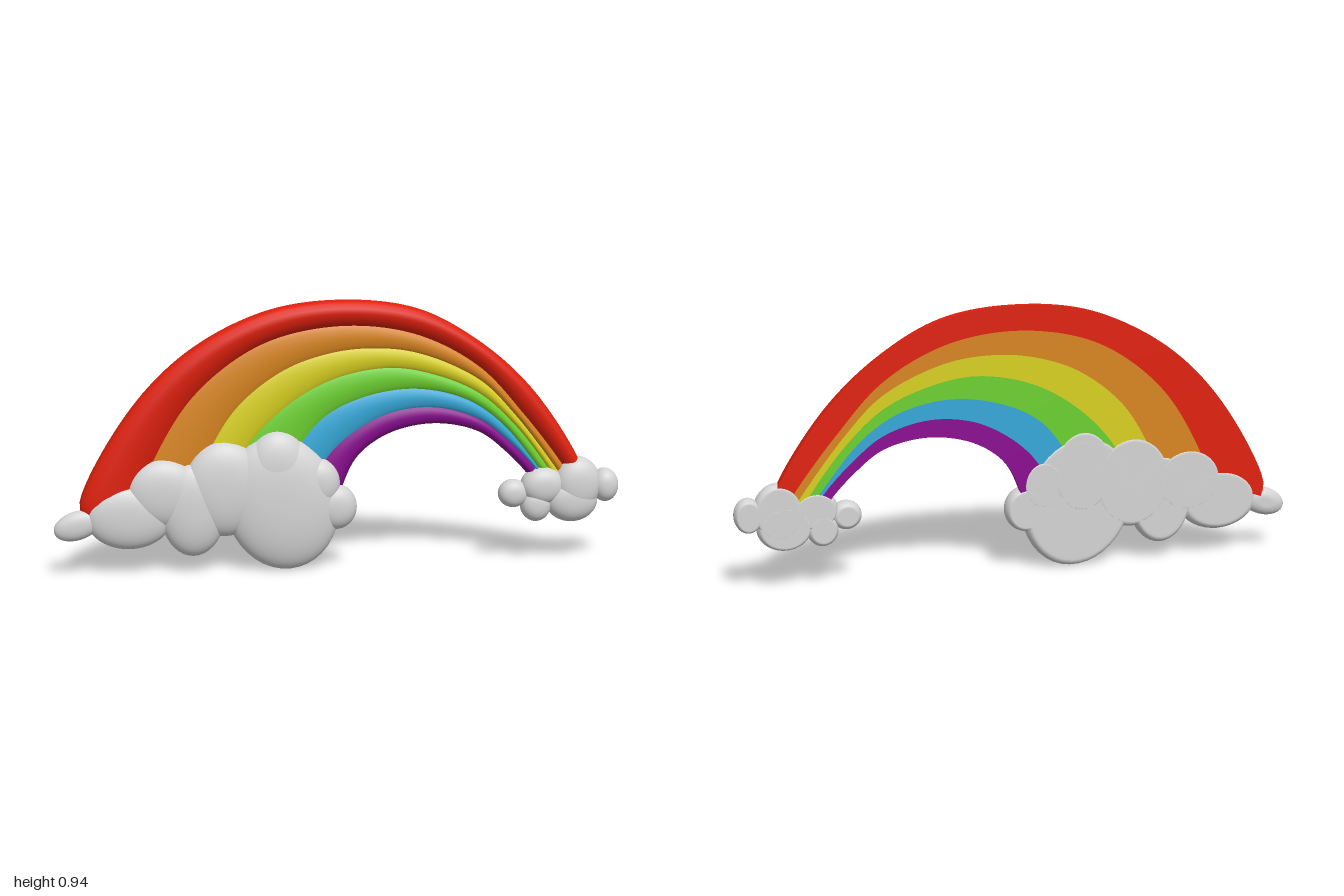
import * as THREE from 'three';
import { mergeVertices } from 'three/addons/utils/BufferGeometryUtils.js';

const BACK = -0.052;

const mat = (name, color) => {
  const m = new THREE.MeshStandardMaterial({ color });
  m.name = name;
  return m;
};

// Boundary curves between the stripes, outermost first, from left end to right end
const EDGES = [
  [[-0.9, 0.2], [-0.91, 0.25], [-0.74, 0.56], [-0.53, 0.77], [-0.26, 0.905], [0.01, 0.94], [0.275, 0.905], [0.49, 0.79], [0.68, 0.62], [0.85, 0.37], [0.88, 0.28]],
  [[-0.7, 0.27], [-0.66, 0.385], [-0.53, 0.6], [-0.365, 0.745], [-0.205, 0.82], [0.035, 0.853], [0.275, 0.815], [0.49, 0.7], [0.65, 0.53], [0.79, 0.35], [0.84, 0.27]],
  [[-0.53, 0.27], [-0.47, 0.41], [-0.365, 0.575], [-0.205, 0.7], [-0.045, 0.757], [0.105, 0.773], [0.275, 0.752], [0.49, 0.655], [0.62, 0.527], [0.765, 0.34], [0.82, 0.26]],
  [[-0.42, 0.27], [-0.32, 0.45], [-0.18, 0.585], [-0.02, 0.67], [0.17, 0.703], [0.33, 0.676], [0.49, 0.607], [0.62, 0.49], [0.74, 0.335], [0.79, 0.25]],
  [[-0.24, 0.28], [-0.17, 0.4], [-0.07, 0.527], [0.06, 0.596], [0.25, 0.628], [0.435, 0.59], [0.57, 0.5], [0.715, 0.325], [0.77, 0.25]],
  [[-0.11, 0.27], [-0.055, 0.385], [0.035, 0.473], [0.17, 0.543], [0.33, 0.56], [0.49, 0.515], [0.595, 0.435], [0.7, 0.325], [0.745, 0.25]],
  [[-0.01, 0.22], [0.005, 0.28], [0.06, 0.39], [0.17, 0.468], [0.33, 0.5], [0.49, 0.468], [0.595, 0.39], [0.68, 0.3], [0.715, 0.24]],
];

// Stripe cross-sections: [fraction from outer to inner edge, z]
const OUTER = [[0, BACK], [0, -0.025], [0.03, -0.01], [0.12, 0.004], [0.28, 0.013], [0.48, 0.015], [0.72, 0.008], [0.9, -0.004], [1, -0.014]];
const MIDDLE = [[0, -0.014], [0.15, -0.007], [0.5, -0.002], [0.85, -0.007], [1, -0.014]];
const INNER = [[0, -0.014], [0.15, -0.007], [0.45, -0.003], [0.75, -0.008], [0.92, -0.018], [1, -0.034], [1, BACK]];
const FLAT_BACK = [[1, BACK], [0, BACK]];

// Sweeps the front section and the flat back between two boundary curves
function stripe(outer, inner, section) {
  const STEPS = 90;
  const position = [], index = [];
  const [a, b] = [outer, inner].map(pts =>
    new THREE.CatmullRomCurve3(pts.map(([x, y]) => new THREE.Vector3(x, y, 0))).getSpacedPoints(STEPS));
  for (const profile of [section, FLAT_BACK]) {
    const start = position.length / 3, n = profile.length;
    for (let i = 0; i <= STEPS; i++) {
      for (const [s, z] of profile) {
        const p = a[i].clone().lerp(b[i], s);
        position.push(p.x, p.y, z);
      }
    }
    for (let i = 0; i < STEPS; i++) {
      for (let j = 0; j < n - 1; j++) {
        const k = start + i * n + j;
        index.push(k, k + 1, k + n, k + 1, k + n + 1, k + n);
      }
    }
  }
  const geo = new THREE.BufferGeometry();
  geo.setAttribute('position', new THREE.Float32BufferAttribute(position, 3));
  geo.setIndex(index);
  geo.computeVertexNormals();
  return geo;
}

// Plump flattened puff with its back cut flat
function puff([x, y, rx, ry, front, tilt = 0]) {
  const zMid = -0.02, back = -0.0535;
  let geo = new THREE.SphereGeometry(1, 40, 32).rotateX(Math.PI / 2);
  geo.deleteAttribute('uv');
  geo.deleteAttribute('normal');
  geo = mergeVertices(geo, 1e-4);
  const p = geo.attributes.position;
  for (let i = 0; i < p.count; i++) {
    const r = Math.hypot(p.getX(i), p.getY(i));
    const k = r > 1e-6 ? Math.pow(r, 0.82) / r : 0;
    const z = Math.sign(p.getZ(i)) * Math.pow(Math.abs(p.getZ(i)), 0.85);
    p.setXYZ(i, p.getX(i) * k * rx, p.getY(i) * k * ry, Math.max(zMid + z * (front - zMid), back));
  }
  geo.rotateZ(tilt);
  geo.translate(x, y, 0);
  geo.computeVertexNormals();
  return geo;
}

// Puffs: x, y, half width, half height, front z, tilt
const LEFT_CLOUD = [
  [-0.92, 0.175, 0.083, 0.05, 0.015, 0.3],
  [-0.74, 0.2, 0.15, 0.113, 0.034],
  [-0.62, 0.28, 0.13, 0.12, 0.038],
  [-0.52, 0.22, 0.115, 0.165, 0.042],
  [-0.41, 0.29, 0.145, 0.168, 0.046],
  [-0.225, 0.34, 0.115, 0.152, 0.047],
  [-0.21, 0.235, 0.2, 0.24, 0.0535, 0.25],
  [-0.08, 0.3, 0.075, 0.09, 0.038],
  [-0.02, 0.215, 0.075, 0.08, 0.034],
];
const RIGHT_CLOUD = [
  [0.617, 0.243, 0.053, 0.05, 0.022],
  [0.7, 0.2, 0.055, 0.06, 0.027],
  [0.725, 0.268, 0.08, 0.068, 0.034],
  [0.85, 0.27, 0.085, 0.1, 0.04],
  [0.83, 0.215, 0.095, 0.08, 0.038],
  [0.952, 0.265, 0.048, 0.06, 0.032],
];

export function createModel() {
  const model = new THREE.Group();
  model.name = 'rainbowWithClouds';

  // Rainbow stripes
  const colours = [['red', 0xe0200c], ['orange', 0xd88520], ['yellow', 0xd8d020],
    ['green', 0x6cd030], ['blue', 0x35a8d8], ['purple', 0x8a0a90]];
  const rainbow = new THREE.Group();
  rainbow.name = 'rainbow';
  colours.forEach(([name, hex], i) => {
    const section = i === 0 ? OUTER : i === 5 ? INNER : MIDDLE;
    const mesh = new THREE.Mesh(stripe(EDGES[i], EDGES[i + 1], section), mat(name, hex));
    mesh.name = name + 'Stripe';
    rainbow.add(mesh);
  });
  model.add(rainbow);

  // Clouds at both ends
  const white = mat('cloudWhite', 0xd4d4d4);
  for (const [name, puffs] of [['largeCloud', LEFT_CLOUD], ['smallCloud', RIGHT_CLOUD]]) {
    const cloud = new THREE.Group();
    cloud.name = name;
    puffs.forEach(spec => {
      const mesh = new THREE.Mesh(puff(spec), white);
      mesh.name = 'puff';
      cloud.add(mesh);
    });
    model.add(cloud);
  }
  return model;
}
